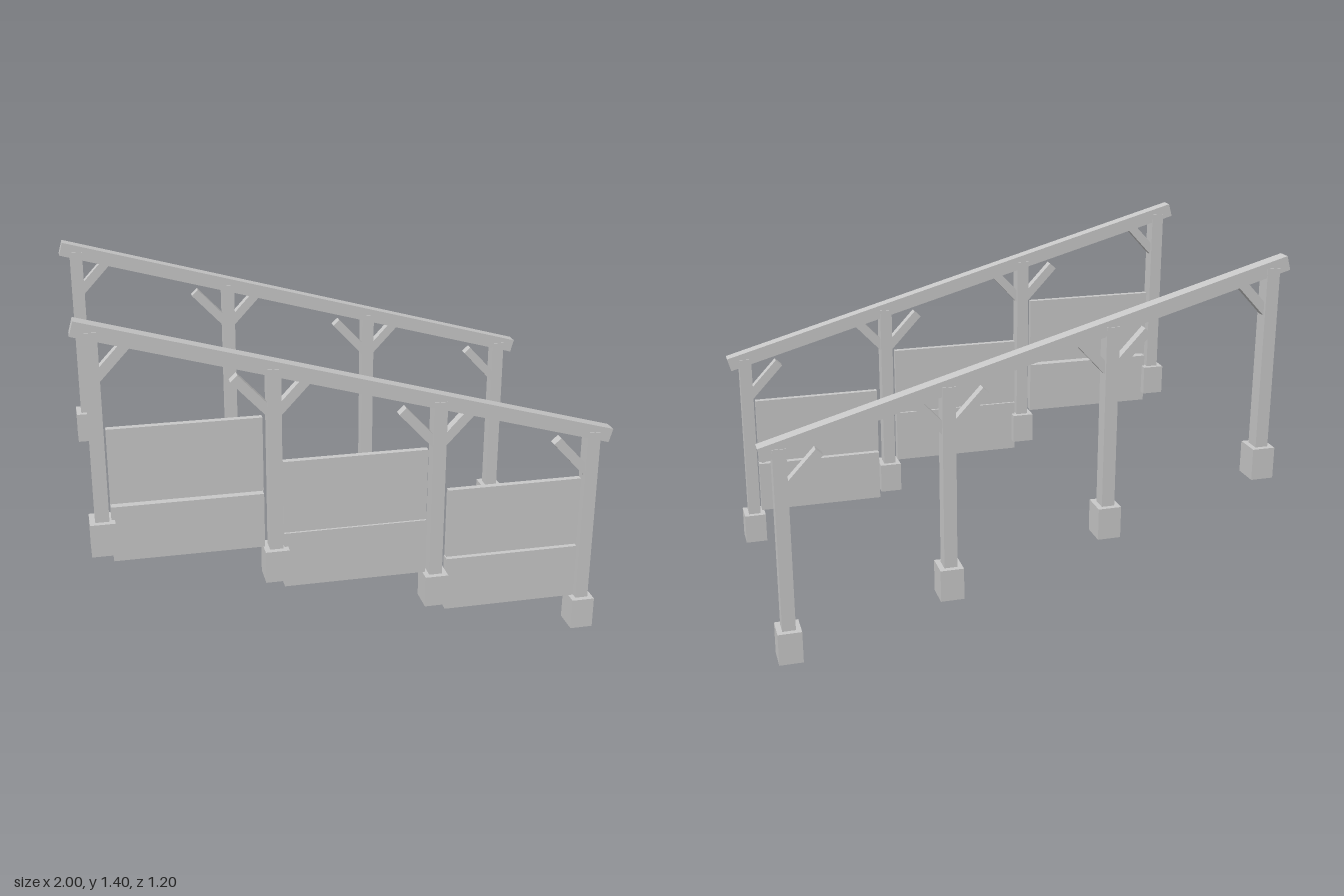
import * as THREE from 'three';

const grey = new THREE.MeshStandardMaterial({ color: 0xc8c8c8 });
grey.name = 'lightGrey';

function box(name, w, h, d, x, y, z = 0, angle = 0) {
  const mesh = new THREE.Mesh(new THREE.BoxGeometry(w, h, d), grey);
  mesh.name = name;
  mesh.position.set(x, y, z);
  mesh.rotation.z = angle;
  return mesh;
}

// Sloping top beam
const BEAM_Y = 1.0915;
const SLOPE = -0.281;
const beamY = (x) => BEAM_Y + SLOPE * x;

// Post positions with the underside of each footing
const POSTS = [
  { x: -0.931, base: 0.523 },
  { x: -0.303, base: 0.348 },
  { x: 0.314, base: 0.173 },
  { x: 0.924, base: 0 },
];

// Infill panels: left, right, bottom, joint below, joint above, top
const PANELS = [
  [-0.898, -0.345, 0.483, 0.697, 0.707, 0.993],
  [-0.272, 0.275, 0.307, 0.527, 0.528, 0.813],
  [0.36, 0.89, 0.134, 0.351, 0.358, 0.638],
];

function brace(x, side) {
  // Runs from inside the post up and outwards
  const angle = 0.82, from = 0.005, to = 0.142;
  const length = (to - from) / Math.cos(angle);
  const mid = (from + to) / 2;
  const y = beamY(x) - 0.154 + (mid - 0.025) * Math.tan(angle);
  return box('brace', length, 0.036, 0.036, x + side * mid, y, 0, side * angle);
}

function frame(name, z) {
  const group = new THREE.Group();
  group.name = name;
  group.position.z = z;
  group.add(box('beam', 2.06, 0.055, 0.053, 0, BEAM_Y, 0, Math.atan(SLOPE)));
  POSTS.forEach(({ x, base }, i) => {
    const bottom = base + 0.12, top = beamY(x);
    group.add(box('footing', 0.09, 0.125, 0.102, x, base + 0.0625));
    group.add(box('post', 0.05, top - bottom, 0.06, x, (top + bottom) / 2));
    if (i > 0) group.add(brace(x, -1));
    if (i < POSTS.length - 1) group.add(brace(x, 1));
  });
  return group;
}

export function createModel() {
  const model = new THREE.Group();
  model.name = 'steppedFrames';
  const front = frame('frontFrame', 0.55);
  model.add(front, frame('backFrame', -0.55));

  // Stepped wall panels fill the front frame only
  for (const [l, r, y0, y1, y2, y3] of PANELS) {
    const x = (l + r) / 2;
    front.add(box('lowerPanel', r - l, y1 - y0, 0.038, x, (y0 + y1) / 2));
    front.add(box('upperPanel', r - l, y3 - y2, 0.024, x, (y2 + y3) / 2));
  }
  return model;
}
